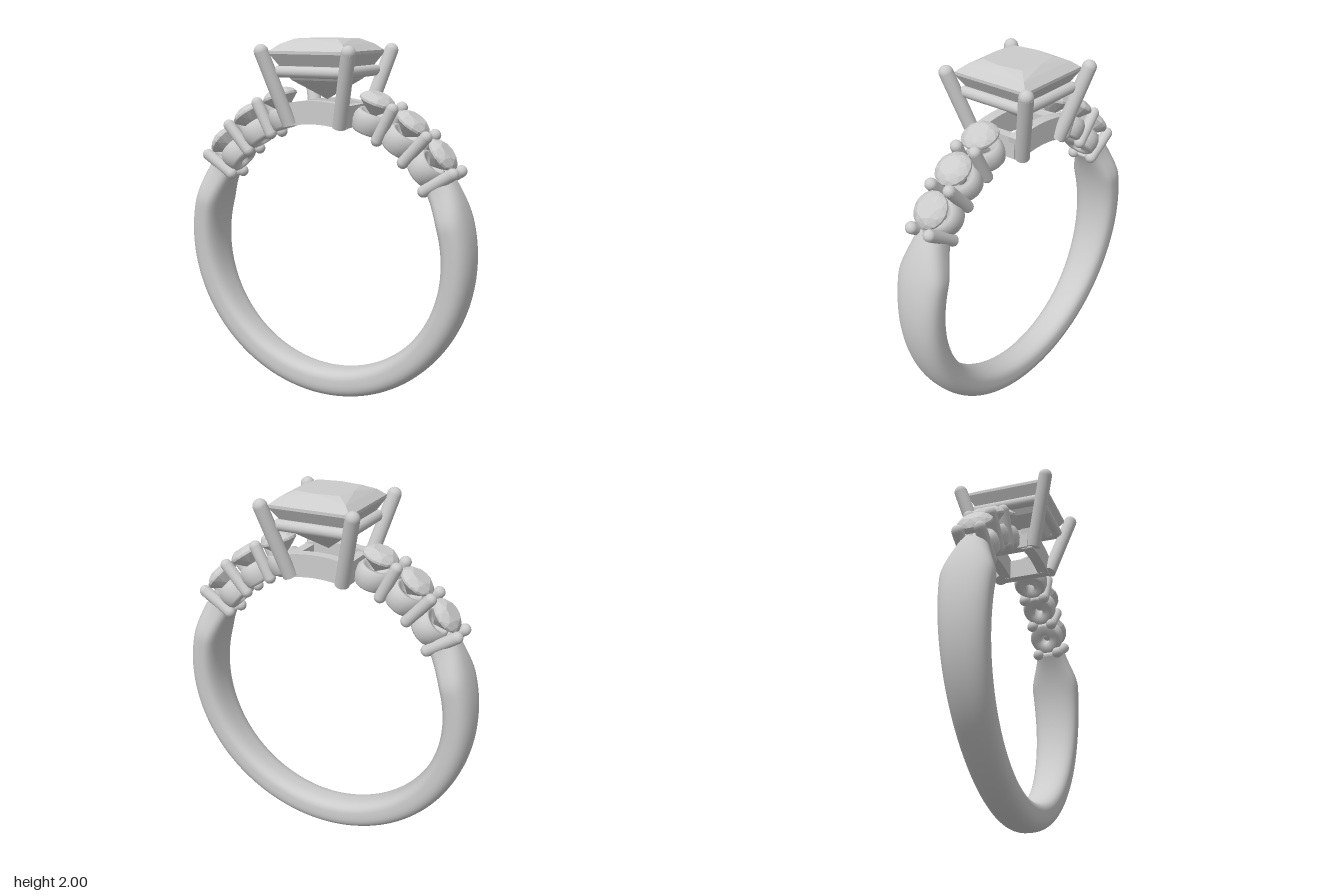
import * as THREE from 'three';
import { ConvexGeometry } from 'three/addons/geometries/ConvexGeometry.js';

const CY = 0.862, R_IN = 0.695, R_OUT = 0.857; // ring centre height and radii
const rad = THREE.MathUtils.degToRad;
const V = (x, y, z) => new THREE.Vector3(x, y, z);

export function createModel() {
  const model = new THREE.Group();
  const metal = new THREE.MeshStandardMaterial({ color: 0xcccccc });
  const facet = new THREE.MeshStandardMaterial({ color: 0xcccccc, flatShading: true });

  const add = (parent, name, geo, mat = metal) => {
    const mesh = new THREE.Mesh(geo, mat);
    mesh.name = name;
    parent.add(mesh);
    return mesh;
  };

  // Round bar between two points, with ball ends where asked
  const bar = (parent, name, a, b, r, ballA, ballB) => {
    const g = new THREE.Group();
    g.name = name;
    const dir = b.clone().sub(a);
    const rod = add(g, name + 'Rod', new THREE.CylinderGeometry(r, r, dir.length(), 20));
    rod.position.copy(a).add(b).multiplyScalar(0.5);
    rod.quaternion.setFromUnitVectors(V(0, 1, 0), dir.normalize());
    [[a, ballA], [b, ballB]].forEach(([p, on]) => {
      if (on) add(g, name + 'Tip', new THREE.SphereGeometry(r, 20, 12)).position.copy(p);
    });
    parent.add(g);
  };

  add(model, 'band', bandGeometry());

  // Shoulders: three small stones in cups, with a pair of prongs beside each
  const cupProfile = [[0.028, 0.77], [0.028, 0.695], [0.08, 0.697], [0.092, 0.71], [0.099, 0.75],
    [0.095, 0.785], [0.08, 0.81], [0.065, 0.81], [0.028, 0.77]].map(p => new THREE.Vector2(...p));
  const cupGeo = new THREE.LatheGeometry(cupProfile, 32);
  const stoneGeo = roundStone();
  for (const side of [1, -1]) {
    const shoulder = new THREE.Group();
    shoulder.name = side > 0 ? 'leftShoulder' : 'rightShoulder';
    shoulder.position.y = CY;
    for (const deg of [40, 55, 70]) {
      const setting = new THREE.Group();
      setting.name = 'stoneSetting';
      setting.rotation.z = side * rad(deg - 90);
      add(setting, 'cup', cupGeo);
      add(setting, 'smallStone', stoneGeo, facet);
      shoulder.add(setting);
    }
    for (const deg of [32.5, 47.5, 62.5]) for (const z of [0.06, -0.06]) {
      const at = r => V(side * r * Math.cos(rad(deg)), r * Math.sin(rad(deg)), z);
      bar(shoulder, 'smallProng', at(0.7), at(0.885), 0.032, true, true);
    }
    model.add(shoulder);
  }

  // Head: curved bridge rails, side rails, gallery rail, four prongs and the square stone
  const head = new THREE.Group();
  head.name = 'head';
  const arc = new THREE.Shape();
  arc.absarc(0, 0, 0.818, rad(77), rad(103), false);
  arc.absarc(0, 0, R_IN, rad(104), rad(76), true);
  const arcGeo = new THREE.ExtrudeGeometry(arc, { depth: 0.06, bevelEnabled: false, curveSegments: 24 });
  for (const s of [1, -1]) {
    add(head, 'bridgeRail', arcGeo).position.set(0, CY, s * 0.115 - 0.03);
    add(head, 'bridgeSide', new THREE.BoxGeometry(0.05, 0.115, 0.24)).position.set(s * 0.155, 1.6, 0);
    bar(head, 'galleryRail', V(-0.19, 1.83, s * 0.19), V(0.19, 1.83, s * 0.19), 0.03, true, true);
    bar(head, 'galleryRail', V(s * 0.19, 1.83, -0.19), V(s * 0.19, 1.83, 0.19), 0.03);
    for (const t of [1, -1])
      bar(head, 'cornerProng', V(s * 0.15, 1.55, t * 0.148), V(s * 0.255, 1.935, t * 0.255), 0.038, false, true);
  }
  add(head, 'squareStone', squareStone(), facet);
  model.add(head);
  return model;
}

// Band swept around the finger, widest at the shoulders and tapered at its ends
function bandGeometry() {
  const N = 120, M = 36, pos = [], idx = [];
  const start = rad(33), end = rad(-213);
  const mid = (R_IN + R_OUT) / 2, half = (R_OUT - R_IN) / 2;
  const sp = (v, e) => Math.sign(v) * Math.abs(v) ** e;
  for (let i = 0; i <= N; i++) {
    const a = start + (end - start) * i / N;
    const y = CY + R_OUT * Math.sin(a);
    const taper = THREE.MathUtils.smoothstep(y, 1.08, 1.36);
    const w = 0.09 + 0.052 * Math.min(y, 1.1) / 1.1 - 0.065 * taper;
    for (let j = 0; j < M; j++) {
      const t = j / M * Math.PI * 2, c = Math.cos(t);
      const r = mid + half * sp(c, c > 0 ? 0.85 : 0.6);
      pos.push(r * Math.cos(a), CY + r * Math.sin(a), w * sp(Math.sin(t), 0.8));
      if (i < N) {
        const p = i * M + j, q = i * M + (j + 1) % M;
        idx.push(p, q, p + M, q, q + M, p + M);
      }
    }
  }
  // End caps
  for (let j = 1; j < M - 1; j++) {
    const e = N * M;
    idx.push(0, j + 1, j, e, e + j, e + j + 1);
  }
  const g = new THREE.BufferGeometry();
  g.setAttribute('position', new THREE.Float32BufferAttribute(pos, 3));
  g.setIndex(idx);
  // Turn the faces outward if the sweep direction left them inward
  const [A, B, C] = [0, 1, 2].map(k => V(...pos.slice(idx[k] * 3, idx[k] * 3 + 3)));
  const n = B.clone().sub(A).cross(C.clone().sub(A));
  if (n.dot(V(Math.cos(start), Math.sin(start), 0)) < 0) g.setIndex(idx.reverse());
  g.computeVertexNormals();
  return g;
}

// Faceted round stone; y is the distance from the ring centre
function roundStone() {
  const pts = [V(0, 0.78, 0)];
  for (const [r, y, n, shift] of [[0.055, 0.912, 8, 0], [0.083, 0.897, 8, 0.5],
    [0.098, 0.878, 16, 0], [0.098, 0.866, 16, 0], [0.055, 0.825, 8, 0.5]])
    for (let i = 0; i < n; i++) {
      const a = (i + shift) / n * Math.PI * 2;
      pts.push(V(r * Math.cos(a), y, r * Math.sin(a)));
    }
  return new ConvexGeometry(pts);
}

// Faceted square stone with a bowed table and stepped underside
function squareStone() {
  const pts = [V(0, 1.68, 0)];
  for (const [h, y] of [[0.125, 2], [0.185, 1.972], [0.225, 1.938], [0.225, 1.922], [0.19, 1.865], [0.14, 1.785]])
    for (const x of [h, -h]) for (const z of [h, -h]) pts.push(V(x, y, z));
  for (const s of [0.145, -0.145]) pts.push(V(s, 2, 0), V(0, 2, s));
  return new ConvexGeometry(pts);
}
